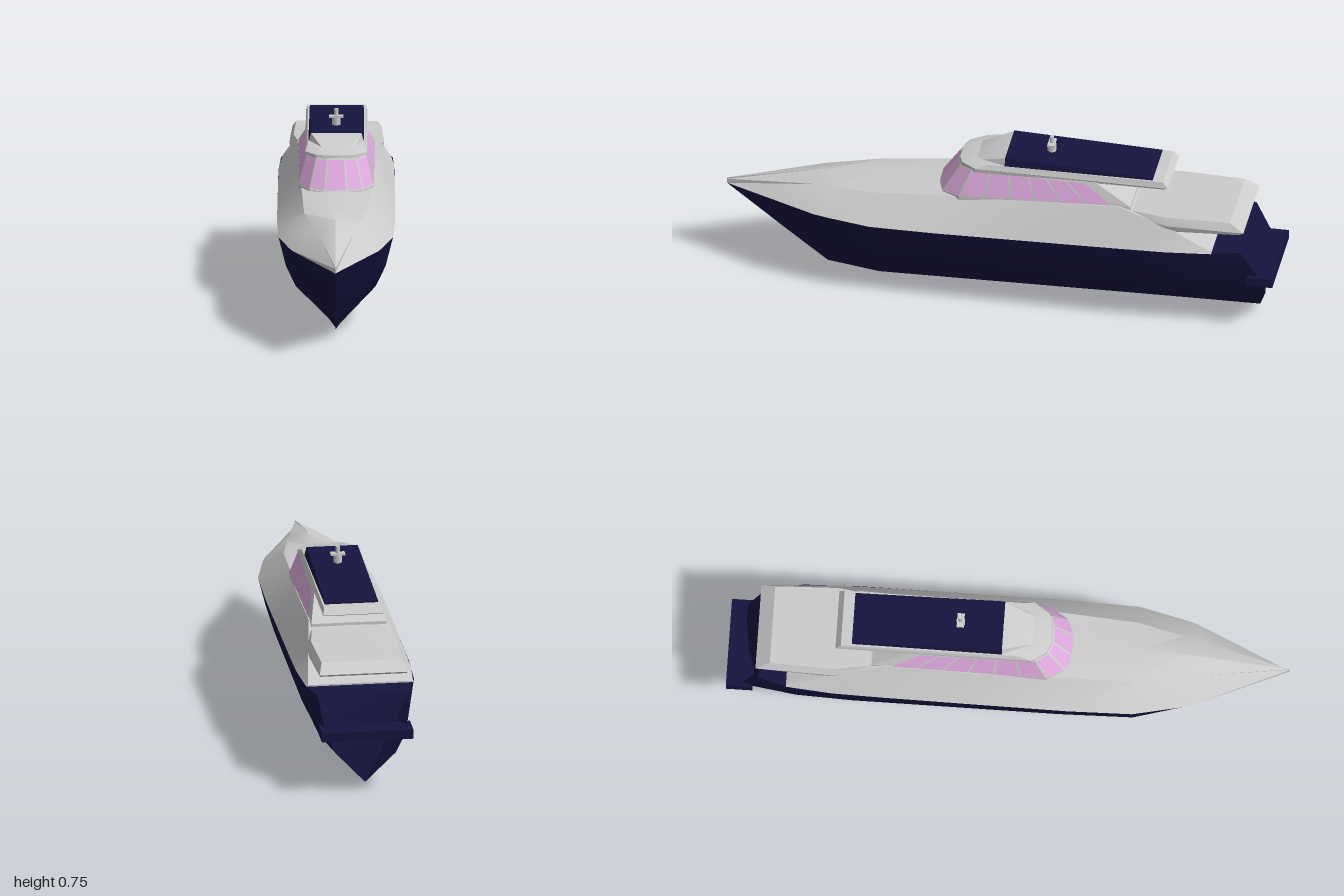
import * as THREE from 'three';
import { toCreasedNormals } from 'three/addons/utils/BufferGeometryUtils.js';

const grey = new THREE.MeshStandardMaterial({ color: 0xcccccc });
const navy = new THREE.MeshStandardMaterial({ color: 0x16143f });
const glass = new THREE.MeshStandardMaterial({ color: 0xe0aadf, side: THREE.DoubleSide });

// Half outline of [along, height, halfWidth] -> full ring mirrored across the keel plane
const mirror = (half) => [
  ...half.map(([s, y, w]) => new THREE.Vector3(s, y, w)).reverse(),
  ...half.map(([s, y, w]) => new THREE.Vector3(s, y, -w)),
];

function trianglesToGeometry(tris, crease) {
  const pos = [];
  for (const [a, b, c] of tris) {
    const area = b.clone().sub(a).cross(c.clone().sub(a)).length();
    if (area > 1e-9) for (const p of [a, b, c]) pos.push(p.x, p.y, p.z);
  }
  const geo = new THREE.BufferGeometry();
  geo.setAttribute('position', new THREE.Float32BufferAttribute(pos, 3));
  geo.computeVertexNormals();
  return toCreasedNormals(geo, crease);
}

// Closed skin over mirrored cross-sections, capped at both ends
function skin(halves, crease = 0.5) {
  const rings = halves.map(mirror);
  const n = rings[0].length;
  const tris = [];
  for (let i = 0; i < rings.length - 1; i++) {
    for (let j = 0; j < n; j++) {
      const k = (j + 1) % n;
      const a = rings[i][j], b = rings[i + 1][j], c = rings[i][k], d = rings[i + 1][k];
      tris.push([a, c, b], [b, c, d]);
    }
  }
  const first = rings[0], last = rings[rings.length - 1];
  for (let j = 1; j < n - 1; j++) {
    tris.push([first[0], first[j + 1], first[j]], [last[0], last[j], last[j + 1]]);
  }
  return trianglesToGeometry(tris, crease);
}

const sheer = (s) => 0.4 - 0.04 * (s + 0.935) / 2.18;

export function createModel() {
  const yacht = new THREE.Group();
  yacht.name = 'yacht';
  const add = (name, geo, mat, x = 0, y = 0, z = 0) => {
    const mesh = new THREE.Mesh(geo, mat);
    mesh.name = name;
    mesh.position.set(x, y, z);
    yacht.add(mesh);
    return mesh;
  };

  // Hull: V sections from raked transom to raked stem
  const station = (s, b, keel) => [
    [s, keel, 0], [s, 0.165, b * 0.7], [s, 0.25, b * 0.87], [s, sheer(s), b],
  ];
  add('hull', skin([
    [[-0.985, 0.03, 0], [-1.03, 0.17, 0.122], [-1.02, 0.25, 0.165], [-0.935, 0.4, 0.192]],
    station(-0.778, 0.23, 0.027),
    station(-0.55, 0.24, 0.023),
    station(0.3, 0.243, 0.006),
    station(0.61, 0.236, 0),
    [[0.75, 0.02, 0], [0.79, 0.165, 0.1], [0.82, 0.25, 0.135], [0.855, sheer(0.855), 0.177]],
    [[0.825, 0.03, 0], [1.0, 0.165, 0], [1.105, 0.25, 0], [1.247, 0.36, 0]],
  ], 0.6), navy);

  // Swim platform
  add('swimPlatform', new THREE.BoxGeometry(0.11, 0.04, 0.38), navy, -1.015, 0.26, 0);

  // Deck moulding: [along, half beam, shoulder width, shoulder height, crown height]
  const deck = [
    [-0.82, 0.222, 0.215, 0.404, 0.405],
    [-0.63, 0.237, 0.19, 0.485, 0.49],
    [-0.42, 0.24, 0.16, 0.545, 0.548],
    [0, 0.242, 0.157, 0.522, 0.525],
    [0.34, 0.243, 0.14, 0.498, 0.508],
    [0.61, 0.236, 0.13, 0.472, 0.493],
    [0.8, 0.193, 0.09, 0.458, 0.485],
    [0.855, 0.177, 0.08, 0.452, 0.475],
    [1.247, 0, 0, 0.38, 0.386],
  ];
  add('deck', skin(deck.map(([s, b, w, y, crown]) =>
    [[s, sheer(s), b], [s, y, w], [s, crown, 0]])), grey);

  // Overhanging aft deck
  add('aftDeck', skin([
    [[-0.48, 0.468, 0.16], [-0.63, 0.468, 0.19], [-0.93, 0.478, 0.18]],
    [[-0.46, 0.495, 0.16], [-0.63, 0.495, 0.195], [-0.948, 0.49, 0.184]],
    [[-0.44, 0.53, 0.15], [-0.63, 0.526, 0.178], [-0.89, 0.526, 0.168]],
  ]), grey);

  // Cabin, wider at its foot, with a faceted front
  const foot = [[0.348, 0.505, 0.045], [0.325, 0.505, 0.11], [0.25, 0.512, 0.153], [-0.47, 0.545, 0.156]];
  const head = [[0.265, 0.628, 0.035], [0.25, 0.628, 0.08], [0.2, 0.627, 0.12], [-0.32, 0.627, 0.124]];
  const sunk = foot.map(([s, y, w]) => [s, y - 0.03, w]);
  add('cabin', skin([sunk, foot, head], 0.3), grey);

  // Window panes along every cabin face but the aft one
  const low = mirror(foot), high = mirror(head);
  for (let e = 0; e < low.length - 1; e++) {
    const isSide = e === 0 || e === low.length - 2;
    const count = isSide ? 6 : 1;
    const gap = isSide ? 0.008 : 0.05;
    const out = low[e + 1].clone().sub(low[e])
      .cross(high[e].clone().sub(low[e])).normalize().multiplyScalar(0.004);
    const at = (u, v) => low[e].clone().lerp(low[e + 1], u)
      .lerp(high[e].clone().lerp(high[e + 1], u), v).add(out);
    for (let i = 0; i < count; i++) {
      let u0 = i / count, u1 = (i + 1) / count;
      if (e === 0) [u0, u1] = [0.1 + 0.9 * u0, 0.1 + 0.9 * u1];
      else if (isSide) [u0, u1] = [0.9 * u0, 0.9 * u1];
      u0 += gap;
      u1 -= gap;
      const [a, b, c, d] = [at(u0, 0.04), at(u1, 0.04), at(u1, 0.93), at(u0, 0.93)];
      add('windowPane', trianglesToGeometry([[a, b, c], [a, c, d]], 0.3), glass);
    }
  }

  // Roof slab reaching aft past the cabin
  add('roof', skin([
    [[0.265, 0.62, 0.045], [0.25, 0.62, 0.085], [0.19, 0.62, 0.126], [-0.6, 0.624, 0.118]],
    [[0.262, 0.638, 0.045], [0.247, 0.638, 0.085], [0.185, 0.638, 0.128], [-0.622, 0.634, 0.126]],
    [[0.19, 0.657, 0.045], [0.175, 0.657, 0.075], [0.13, 0.657, 0.117], [-0.6, 0.659, 0.12]],
  ]), grey);
  add('roofFairing', skin([
    [[0.064, 0.645, 0.116], [0.064, 0.689, 0.104]],
    [[0.21, 0.64, 0.07], [0.19, 0.656, 0.06]],
  ]), grey);
  add('roofPanel', skin([
    [[-0.555, 0.65, 0.113], [-0.555, 0.667, 0.11]],
    [[0.064, 0.65, 0.117], [0.064, 0.691, 0.106]],
  ]), navy);

  // Mast with its crossbar
  add('mastBase', new THREE.CylinderGeometry(0.018, 0.018, 0.04, 10), grey, -0.113, 0.698, 0);
  add('mastCrossbar', new THREE.BoxGeometry(0.03, 0.008, 0.06), grey, -0.113, 0.72, 0);
  add('mast', new THREE.CylinderGeometry(0.009, 0.009, 0.035, 8), grey, -0.113, 0.735, 0);

  // The yacht lies diagonally, bow towards front left
  yacht.rotation.y = -0.619;
  yacht.position.set(-0.017, 0, 0.024);
  const model = new THREE.Group();
  model.name = 'model';
  model.add(yacht);
  return model;
}
